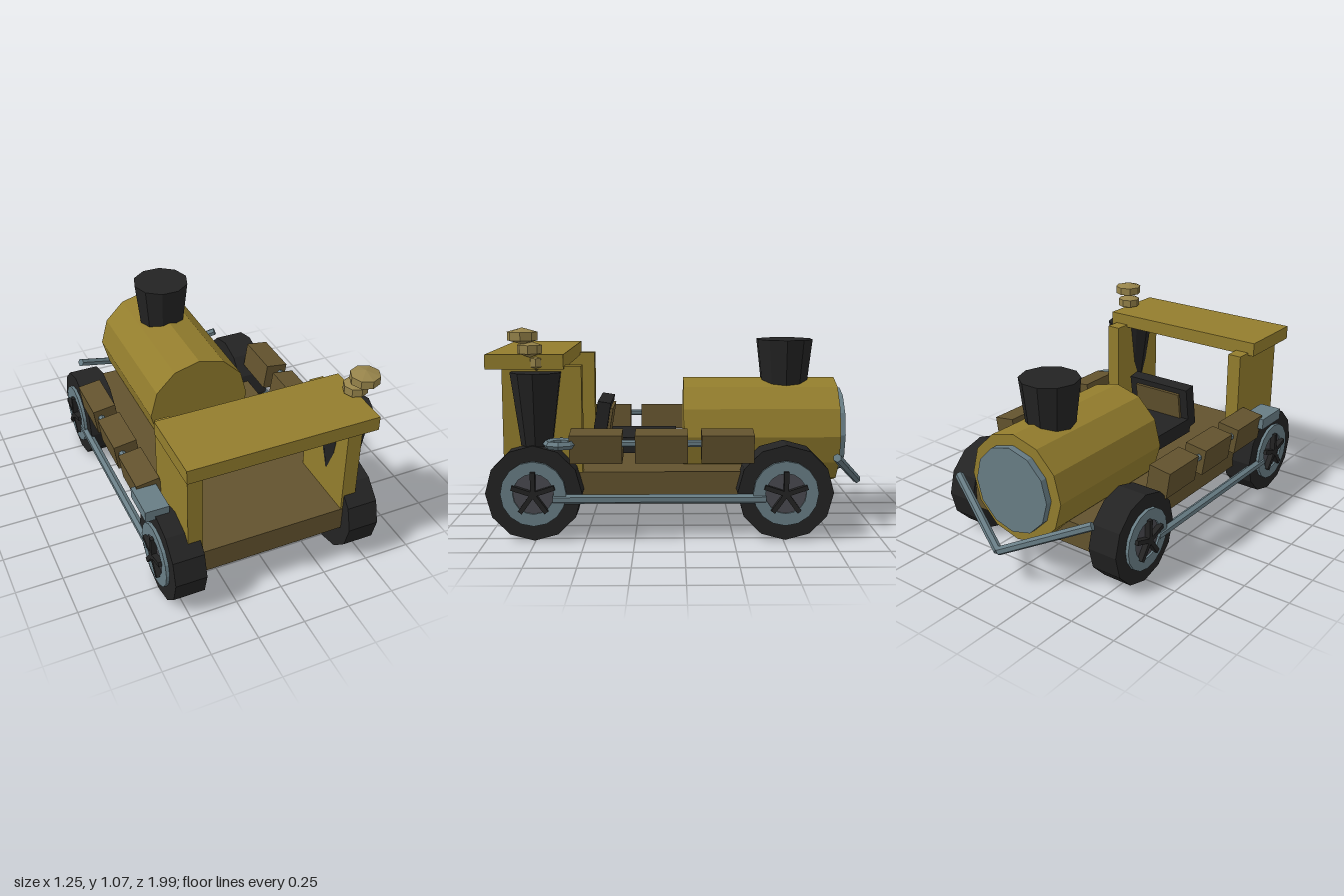
import * as THREE from 'three';

const paint = (name, color) => {
  const m = new THREE.MeshStandardMaterial({ color, flatShading: true });
  m.name = name;
  return m;
};

export function createModel() {
  const gold = paint('gold', 0x937d2d);
  const brown = paint('brown', 0x63532e);
  const black = paint('black', 0x232323);
  const steel = paint('steel', 0x687d85);
  const brass = paint('pale brass', 0x96834a);
  const grey = paint('dark grey', 0x4a4a50);

  const model = new THREE.Group();
  model.name = 'steamTrainCar';
  const body = new THREE.Group();
  body.name = 'body';
  body.position.x = -0.017;
  model.add(body);

  const add = (name, geo, mat, x, y, z, parent = body) => {
    const mesh = new THREE.Mesh(geo, mat);
    mesh.name = name;
    mesh.position.set(x, y, z);
    parent.add(mesh);
    return mesh;
  };
  const box = (w, h, d) => new THREE.BoxGeometry(w, h, d);
  const cyl = (top, bottom, h, n) => new THREE.CylinderGeometry(top, bottom, h, n);

  // Straight bar between two points
  const bar = (name, a, b, r, mat) => {
    const from = new THREE.Vector3(...a), to = new THREE.Vector3(...b);
    const dir = to.clone().sub(from);
    const mid = from.clone().add(to).multiplyScalar(0.5);
    const mesh = add(name, cyl(r, r, dir.length(), 6), mat, mid.x, mid.y, mid.z);
    mesh.quaternion.setFromUnitVectors(new THREE.Vector3(0, 1, 0), dir.normalize());
  };

  // Deck
  add('deck', box(0.89, 0.13, 1.64), brown, 0, 0.265, 0.1);

  // Boiler with end plate and chimney
  add('boiler', cyl(0.289, 0.289, 0.83, 12), gold, 0, 0.481, -0.415).rotation.x = Math.PI / 2;
  add('boilerPlate', cyl(0.23, 0.23, 0.04, 12), steel, 0, 0.481, -0.845).rotation.x = Math.PI / 2;
  add('chimney', cyl(0.157, 0.124, 0.28, 10), black, 0, 0.84, -0.555).rotation.y = Math.PI / 2;

  // Cab
  add('roof', box(0.985, 0.075, 0.393), gold, 0, 0.898, 0.8);
  for (const s of [-1, 1])
    add('cabWall', box(0.077, 0.545, 0.4), gold, s * 0.42, 0.602, 0.718);

  // Seat with a forward-leaning back
  add('seatBase', box(0.39, 0.085, 0.4), black, 0, 0.423, 0.24);
  const seatBack = new THREE.Group();
  seatBack.name = 'seatBack';
  seatBack.position.set(0, 0.535, 0.442);
  seatBack.rotation.x = -0.16;
  body.add(seatBack);
  add('seatBackFrame', box(0.39, 0.245, 0.07), black, 0, 0, 0, seatBack);
  add('seatBackPad', box(0.295, 0.18, 0.02), brown, 0, 0, -0.04, seatBack);

  // Wheel, built with its axis along local y pointing outward
  const rimProfile = [[0.165, 0], [0.165, 0.017], [0.103, 0.017], [0.103, 0]]
    .map(([r, y]) => new THREE.Vector2(r, y));
  const makeWheel = (s, z) => {
    const wheel = new THREE.Group();
    wheel.name = 'wheel';
    wheel.position.set(s * 0.393, 0.243, z);
    wheel.rotation.z = -s * Math.PI / 2;
    body.add(wheel);
    add('tire', cyl(0.243, 0.243, 0.164, 12), black, 0, 0.082, 0, wheel);
    add('rim', new THREE.LatheGeometry(rimProfile, 16), steel, 0, 0.164, 0, wheel);
    add('wheelDisc', cyl(0.104, 0.104, 0.008, 16), grey, 0, 0.166, 0, wheel);
    for (let i = 0; i < 5; i++) {
      const a = i / 5 * Math.PI * 2;
      const spoke = add('spoke', box(0.113, 0.036, 0.024), black,
        -s * Math.cos(a) * 0.0565, 0.181, Math.sin(a) * 0.0565, wheel);
      spoke.rotation.y = s * a;
    }
  };

  for (const s of [-1, 1]) {
    makeWheel(s, 0.757);
    makeWheel(s, -0.51);
    // Drive rod, box rail and tilted side boxes
    bar('driveRod', [s * 0.56, 0.215, 0.66], [s * 0.56, 0.215, -0.41], 0.024, steel);
    bar('boxRail', [s * 0.545, 0.495, 0.56], [s * 0.545, 0.495, -0.33], 0.018, steel);
    for (const z of [0.442, 0.115, -0.217])
      add('sideBox', box(0.125, 0.145, 0.263), brown, s * 0.515, 0.477, z).rotation.z = -s * 0.14;
    // Bumper arm
    bar('bumperArm', [s * 0.445, 0.4, -0.785], [0, 0.193, -0.975], 0.023, steel);
  }

  // Steel block on one side, ring on the other
  add('sideBlock', box(0.125, 0.06, 0.2), steel, -0.545, 0.495, 0.65);
  add('sideRing', new THREE.TorusGeometry(0.065, 0.021, 5, 8), steel, 0.555, 0.495, 0.62)
    .rotation.x = Math.PI / 2;

  // Side funnel and its steam puffs
  add('sideFunnel', cyl(0.132, 0.082, 0.37, 10), black, 0.462, 0.662, 0.745).rotation.y = Math.PI / 2;
  const puffs = [[0.47, 0.895, 0.74, 0.042], [0.49, 0.963, 0.77, 0.072], [0.518, 1.03, 0.8, 0.087]];
  for (const [x, y, z, r] of puffs)
    add('puff', new THREE.SphereGeometry(r, 8, 3), brass, x, y, z).scale.y = 0.042 / r;

  return model;
}
